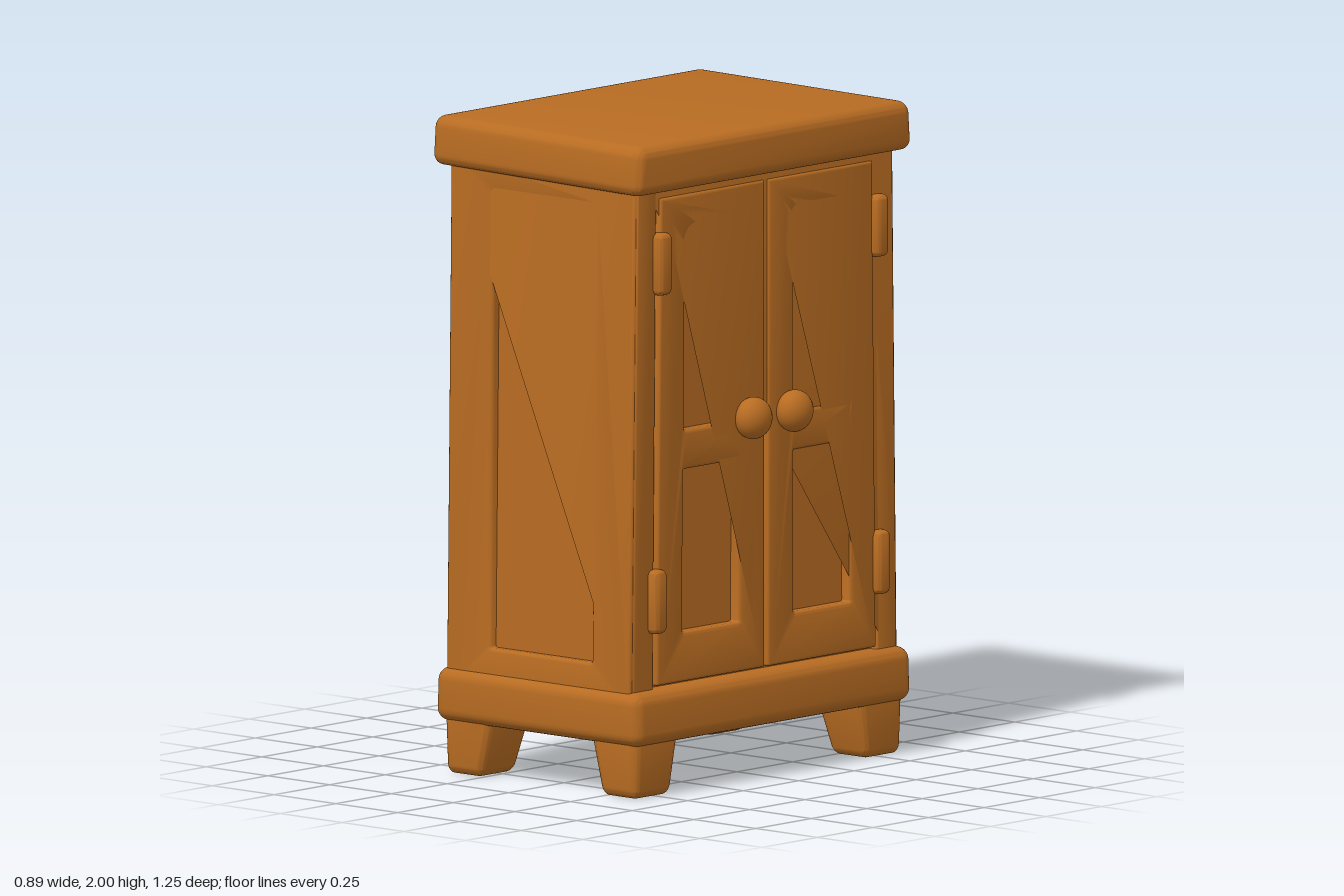
import * as THREE from 'three';
import { mergeVertices, toCreasedNormals } from 'three/addons/utils/BufferGeometryUtils.js';
import { RoundedBoxGeometry } from 'three/addons/geometries/RoundedBoxGeometry.js';

const wood = new THREE.MeshStandardMaterial({ color: 0xb86c22 });
wood.name = 'warm wood';

// Moves each vertex by a rule, then rebuilds smooth normals with sharp creases
function reshape(geo, rule) {
  const p = geo.attributes.position, v = new THREE.Vector3();
  for (let i = 0; i < p.count; i++) {
    v.fromBufferAttribute(p, i);
    rule(v);
    p.setXYZ(i, v.x, v.y, v.z);
  }
  geo.deleteAttribute('uv');
  geo.deleteAttribute('normal');
  return toCreasedNormals(mergeVertices(geo, 1e-5), 0.7);
}

// The cabinet narrows slightly towards the top
const taper = (v) => { v.z *= 1.0236 - 0.0219 * v.y; };

// Rounded block given by its limits
function block([x0, x1], [y0, y1], [z0, z1], r, rule = () => {}) {
  const g = new RoundedBoxGeometry(x1 - x0, y1 - y0, z1 - z0, 4, r);
  g.translate((x0 + x1) / 2, (y0 + y1) / 2, (z0 + z1) / 2);
  return reshape(g, rule);
}

// Rectangle outline; ra and rb round the top corners at u0 and u1
function outline(path, [u0, u1, v0, v1], ra = 0.008, rb = 0.008) {
  const r = 0.008;
  path.moveTo(u0 + r, v0);
  path.lineTo(u1 - r, v0);
  path.quadraticCurveTo(u1, v0, u1, v0 + r);
  path.lineTo(u1, v1 - rb);
  path.quadraticCurveTo(u1, v1, u1 - rb, v1);
  path.lineTo(u0 + ra, v1);
  path.quadraticCurveTo(u0, v1, u0, v1 - ra);
  path.lineTo(u0, v0 + r);
  path.quadraticCurveTo(u0, v0, u0 + r, v0);
  return path;
}

// Board with holes and softened edges, from z = 0 to z = thickness
function board(rect, holes, thickness, bevel) {
  const shape = outline(new THREE.Shape(), rect);
  for (const [hole, ra, rb] of holes) shape.holes.push(outline(new THREE.Path(), hole, ra, rb));
  const g = new THREE.ExtrudeGeometry(shape, {
    depth: thickness - 2 * bevel, bevelThickness: bevel, bevelSize: bevel,
    bevelOffset: -bevel, bevelSegments: 3, curveSegments: 5,
  });
  return g.translate(0, 0, bevel);
}

export function createModel() {
  const model = new THREE.Group();
  model.name = 'cabinet';
  const add = (name, geo, parent = model) => {
    const m = new THREE.Mesh(geo, wood);
    m.name = name;
    parent.add(m);
    return m;
  };

  // Top slab, a little wider at its lower edge and towards the doors
  add('topSlab', block([-0.45, 0.405], [1.85, 2], [-0.62, 0.61], 0.035, (v) => {
    v.z *= 1 - 0.12 * (v.y - 1.9) + 0.02 * v.x;
    if (v.x > 0.2) v.y -= 0.012 * (v.x - 0.2) / 0.2;
  }));

  // Base moulding
  add('baseMoulding', block([-0.42, 0.405], [0.16, 0.325], [-0.625, 0.625], 0.04,
    (v) => { v.x *= 1 - 0.08 * (v.y - 0.24); }));

  // Tapered feet: the outer faces stay nearly upright, the inner ones slope
  for (const sx of [-1, 1]) for (const sz of [-1, 1]) {
    const ox = sx < 0 ? -0.4 : 0.385, oz = sz * 0.607;
    const xs = [ox, ox - sx * 0.205].sort((a, b) => a - b);
    const zs = [oz, oz - sz * 0.215].sort((a, b) => a - b);
    add('foot', block(xs, [0, 0.24], zs, 0.03, (v) => {
      const t = 1 - v.y / 0.24;
      v.x = ox + (v.x - ox) * (1 - 0.32 * t) - sx * 0.008 * t;
      v.z = oz + (v.z - oz) * (1 - 0.25 * t) - sz * 0.008 * t;
    }));
  }

  // Carcass: its faces are the floors of the recessed panels
  add('carcass', reshape(new THREE.BoxGeometry(0.7, 1.62, 1.13).translate(-0.015, 1.08, 0), taper));

  // Side frames around the sunken side panels
  for (const s of [-1, 1]) {
    const g = board([-0.388, 0.36, 0.26, 1.9], [[[-0.21, 0.2, 0.4, 1.79]]], 0.05, 0.012);
    g.translate(0, 0, s > 0 ? 0.543 : -0.593);
    add('sideFrame', reshape(g, taper));
  }

  // Back frame around the sunken back panel
  const back = board([-0.585, 0.585, 0.26, 1.9], [[[-0.52, 0.52, 0.37, 1.79]]], 0.05, 0.01);
  add('backFrame', reshape(back.rotateY(Math.PI / 2).translate(-0.39, 0, 0), taper));

  // Frame around the doors
  const front = board([-0.585, 0.585, 0.26, 1.9], [[[-0.495, 0.495, 0.322, 1.832]]], 0.05, 0.008);
  add('doorFrame', reshape(front.rotateY(Math.PI / 2).translate(0.314, 0, 0), taper));

  // Two doors, each with an arched-corner upper panel, lower panel, knob and hinges
  for (const s of [-1, 1]) {
    const door = new THREE.Group();
    door.name = s > 0 ? 'leftDoor' : 'rightDoor';
    model.add(door);
    // Across the doors, u runs along -z
    const span = (a, b, y0, y1) => [Math.min(-s * a, -s * b), Math.max(-s * a, -s * b), y0, y1];
    const [ra, rb] = s > 0 ? [0.06, 0.025] : [0.025, 0.06];
    const g = board(span(0.006, 0.487, 0.333, 1.82), [
      [span(0.122, 0.37, 1.1, 1.72), ra, rb],
      [span(0.122, 0.372, 0.485, 0.98)],
    ], 0.05, 0.012);
    add('doorPanel', reshape(g.rotateY(Math.PI / 2).translate(0.322, 0, 0), taper), door);

    const knob = add('knob', new THREE.SphereGeometry(0.064, 28, 20), door);
    knob.scale.x = 0.8;
    knob.position.set(0.393, 1.105, s > 0 ? 0.085 : -0.1);

    for (const [y0, y1, z] of [[1.525, 1.715, s > 0 ? 0.475 : -0.5], [0.495, 0.69, s > 0 ? 0.498 : -0.507]])
      add('hinge', block([0.34, 0.396], [y0, y1], [z - 0.03, z + 0.03], 0.02), door);
  }
  return model;
}
